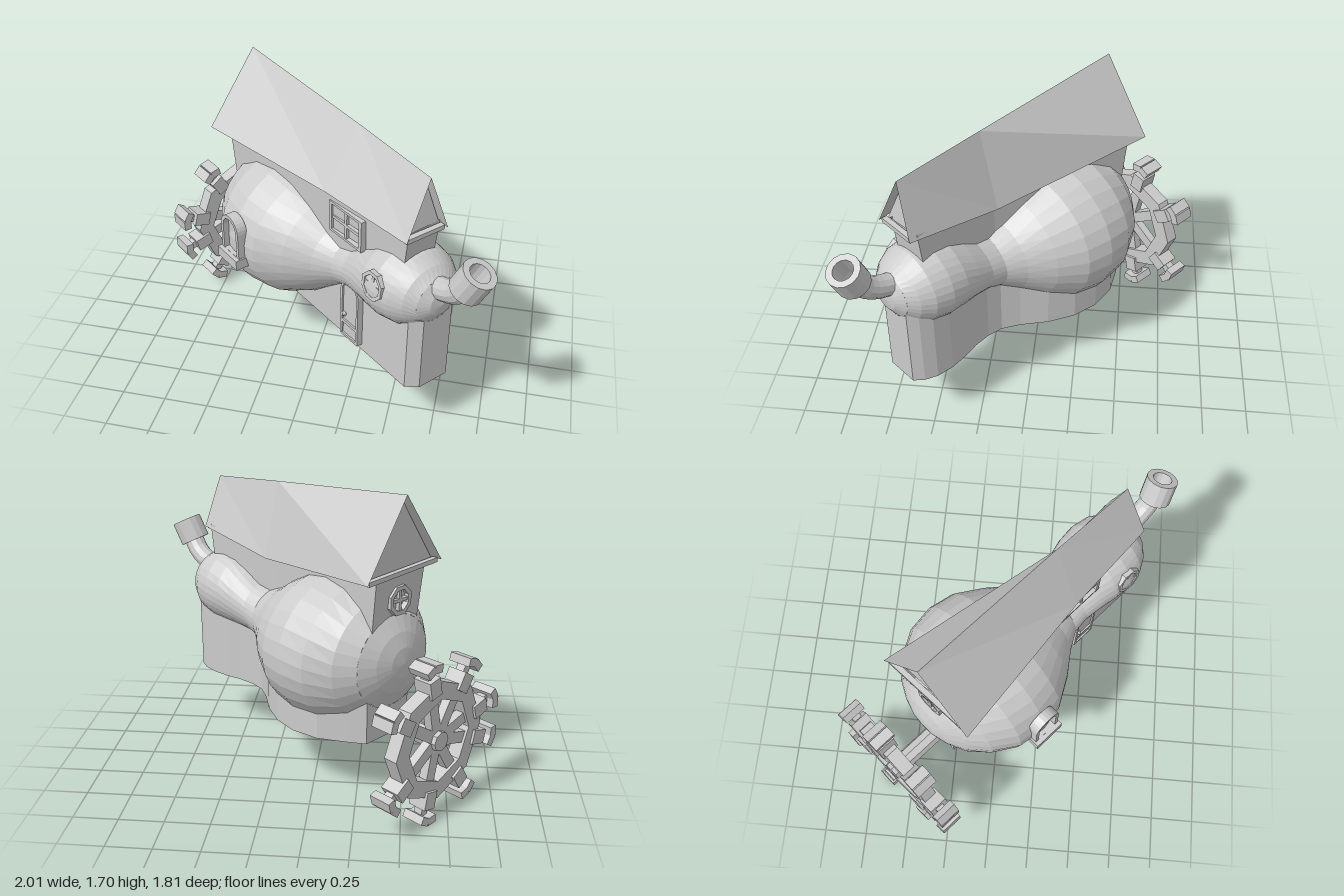
import * as THREE from 'three';

const mat = new THREE.MeshStandardMaterial({ color: 0xcccccc, flatShading: true, side: THREE.DoubleSide });
const AXIS = new THREE.Vector3(0.756, 0, 0.654);   // gourd runs from big bulb to small bulb
const FRONT = new THREE.Vector3(-0.654, 0, 0.756); // side of the house with the door

function add(parent, name, geo, x = 0, y = 0, z = 0) {
  const m = new THREE.Mesh(geo, mat);
  m.name = name;
  m.position.set(x, y, z);
  parent.add(m);
  return m;
}

// Group whose local +z points along dir
function facing(parent, name, pos, dir) {
  const g = new THREE.Group();
  g.name = name;
  g.position.set(...pos);
  g.lookAt(g.position.clone().add(dir));
  parent.add(g);
  return g;
}

// Surface through rows of points [x, y, z]
function loft(rows, closed = false) {
  const n = rows[0].length, index = [];
  for (let r = 0; r < rows.length - 1; r++)
    for (let i = 0; i < (closed ? n : n - 1); i++) {
      const a = r * n + i, b = r * n + (i + 1) % n;
      index.push(a, b, a + n, b, b + n, a + n);
    }
  const geo = new THREE.BufferGeometry();
  geo.setAttribute('position', new THREE.Float32BufferAttribute(rows.flat(2), 3));
  geo.setIndex(index);
  geo.computeVertexNormals();
  return geo;
}

function polygon(ShapeType, sides, r, turn) {
  const pts = [];
  for (let i = 0; i < sides; i++) {
    const a = turn + i * 2 * Math.PI / sides;
    pts.push(new THREE.Vector2(r * Math.cos(a), r * Math.sin(a)));
  }
  return new ShapeType(pts);
}

function ringGeo(sides, outer, inner, depth, turn = 0) {
  const s = polygon(THREE.Shape, sides, outer, turn);
  s.holes.push(polygon(THREE.Path, sides, inner, turn));
  return new THREE.ExtrudeGeometry(s, { depth, bevelEnabled: false }).translate(0, 0, -depth / 2);
}

function arch(target, w, h) {
  target.moveTo(-w / 2, 0);
  target.lineTo(w / 2, 0);
  target.lineTo(w / 2, h - w / 2);
  target.absarc(0, h - w / 2, w / 2, 0, Math.PI, false);
  target.lineTo(-w / 2, 0);
  return target;
}

function archFrame(w, h, t, depth) {
  const s = arch(new THREE.Shape(), w, h);
  s.holes.push(new THREE.Path(arch(new THREE.Path(), w - 2 * t, h - 2 * t).getPoints(6)
    .map(p => p.add(new THREE.Vector2(0, t)))));
  return new THREE.ExtrudeGeometry(s, { depth, bevelEnabled: false, curveSegments: 6 });
}

function crossBars(g, w, h) {
  add(g, 'verticalBar', new THREE.BoxGeometry(0.018, h, 0.03));
  add(g, 'horizontalBar', new THREE.BoxGeometry(w, 0.018, 0.03));
}

function buildGourd(parent) {
  // along axis, centre height, half width, half height
  const bigTip = [[-0.478, 0.82, 0.001, 0.001], [-0.468, 0.82, 0.09, 0.085], [-0.44, 0.815, 0.18, 0.17], [-0.39, 0.81, 0.275, 0.258]];
  const smallTip = [[1.14, 0.93, 0.135, 0.125], [1.175, 0.93, 0.075, 0.07], [1.187, 0.93, 0.001, 0.001]];
  // the same, then reach of the skirt to front and back
  const standing = [
    [-0.39, 0.81, 0.275, 0.258, 0.13, 0.19], [-0.3, 0.805, 0.368, 0.342, 0.13, 0.25], [-0.16, 0.8, 0.452, 0.408, 0.13, 0.335],
    [0, 0.8, 0.475, 0.425, 0.13, 0.365], [0.15, 0.8, 0.448, 0.395, 0.13, 0.345], [0.3, 0.805, 0.36, 0.312, 0.13, 0.28],
    [0.43, 0.815, 0.26, 0.22, 0.13, 0.19], [0.53, 0.83, 0.2, 0.165, 0.13, 0.14], [0.62, 0.855, 0.195, 0.16, 0.13, 0.13],
    [0.72, 0.89, 0.213, 0.188, 0.135, 0.14], [0.82, 0.916, 0.234, 0.214, 0.135, 0.165], [0.92, 0.925, 0.242, 0.225, 0.135, 0.18],
    [1.02, 0.928, 0.225, 0.208, 0.135, 0.175], [1.09, 0.93, 0.185, 0.17, 0.135, 0.15], [1.14, 0.93, 0.135, 0.125, 0.075, 0.11]];
  const STEPS = 26, BASE = 0.38;
  const point = ([t, cy, w, h], a) => [-0.135 + AXIS.x * t + FRONT.x * w * Math.cos(a), cy + h * Math.sin(a),
    -0.08 + AXIS.z * t + FRONT.z * w * Math.cos(a)];
  const arc = (s, from, to) => Array.from({ length: STEPS + 1 }, (_, i) => point(s, from + (to - from) * i / STEPS));
  const ends = ([, , w, , front, back]) => [-Math.acos(front / w), Math.PI + Math.acos(back / w)];
  const drop = pts => [pts, pts.map(([x, , z]) => [x, BASE, z])];

  // Closed tips; the body between them is open underneath where it stands on the skirt
  for (const tip of [bigTip, smallTip])
    add(parent, 'gourdTip', loft(tip.map(s => arc(s, -Math.PI / 2, Math.PI * 1.5))));
  const rows = standing.map(s => arc(s, ...ends(s)));
  add(parent, 'gourdBody', loft(rows));

  // Skirt wall hangs from the edges of that opening
  add(parent, 'skirtFront', loft(drop(rows.map(r => r[0]))));
  add(parent, 'skirtBack', loft(drop(rows.map(r => r[STEPS]))));
  for (const s of [standing[0], standing[standing.length - 1]]) {
    const [from, to] = ends(s);
    add(parent, 'skirtEnd', loft(drop(arc(s, from, to - 2 * Math.PI))));
  }
}

function buildHouse(parent) {
  // Walls narrowing downwards
  const top = [[-0.58, -0.17], [0.1, 0.33], [0.57, 0.67], [0.7, 0.51], [0.27, 0.2], [-0.34, -0.49]];
  const bottom = top.map(([x, z]) => [0.06 + (x - 0.06) * 0.93, 0.85, 0.08 + (z - 0.08) * 0.93]);
  add(parent, 'houseWalls', loft([top.map(([x, z], i) => [x, i === 4 ? 1.23 : 1.3, z]), bottom], true));

  // Bent saddle roof, wide at the back and narrow at the front
  const frontEave = [[-0.67, 1.31, -0.11], [0.1, 1.295, 0.39], [0.57, 1.28, 0.73]];
  const ridge = [[-0.48, 1.71, -0.35], [0.25, 1.63, 0.26], [0.65, 1.58, 0.6]];
  const backEave = [[-0.3, 1.3, -0.58], [0.32, 1.2, 0.17], [0.74, 1.28, 0.54]];
  add(parent, 'roof', loft([frontEave, ridge, backEave]));

  // Gable walls set back under the roof, with a beam across the eaves
  for (const [i, inward] of [[0, 0.05], [2, -0.05]]) {
    const p = new THREE.Vector3(...frontEave[i]), q = new THREE.Vector3(...backEave[i]);
    const setBack = v => v.addScaledVector(AXIS, inward).toArray();
    const apex = setBack(new THREE.Vector3(...ridge[i]).setY(ridge[i][1] - 0.01));
    add(parent, 'gable', loft([[setBack(p.clone().lerp(q, 0.04)), setBack(q.clone().lerp(p, 0.04))], [apex, apex]]));
    const beam = facing(parent, 'gableBeam', p.clone().lerp(q, 0.5).addScaledVector(AXIS, inward / 2).toArray(), q.clone().sub(p));
    add(beam, 'beam', new THREE.BoxGeometry(0.03, 0.025, p.distanceTo(q) * 0.92));
  }
}

function buildOpenings(parent) {
  const big = facing(parent, 'archedWindow', [-0.42, 0.74, 0.25], FRONT);
  add(big, 'frame', archFrame(0.17, 0.26, 0.022, 0.06));
  add(big, 'pane', new THREE.ShapeGeometry(arch(new THREE.Shape(), 0.16, 0.25)), 0, 0, 0.025);
  add(big, 'sill', new THREE.BoxGeometry(0.19, 0.06, 0.13), 0, -0.01, 0.02);

  const square = facing(parent, 'squareWindow', [0.225, 1.13, 0.415], FRONT);
  add(square, 'frame', ringGeo(4, 0.14, 0.118, 0.04, Math.PI / 4)).scale.set(1.35, 0.92, 1);
  crossBars(square, 0.24, 0.17);

  const side = facing(parent, 'roundWindow', [0.415, 0.975, 0.68], new THREE.Vector3(-0.68, 0.12, 0.73));
  add(side, 'frame', ringGeo(8, 0.082, 0.062, 0.04, Math.PI / 8));
  crossBars(side, 0.13, 0.13);

  const gable = facing(parent, 'gableWindow', [-0.45, 1.15, -0.325], AXIS.clone().negate());
  add(gable, 'frame', ringGeo(8, 0.085, 0.06, 0.04, Math.PI / 8));
  crossBars(gable, 0.12, 0.12);

  const door = facing(parent, 'door', [0.275, 0.42, 0.455], FRONT);
  add(door, 'doorLeaf', new THREE.ExtrudeGeometry(arch(new THREE.Shape(), 0.13, 0.37), { depth: 0.025, bevelEnabled: false }));
  add(door, 'doorFrame', archFrame(0.15, 0.39, 0.015, 0.035));
  add(door, 'crossPlank', new THREE.BoxGeometry(0.12, 0.02, 0.02), 0, 0.1, 0.025);
  add(door, 'knob', new THREE.SphereGeometry(0.014, 8, 6), -0.045, 0.15, 0.03);
}

function buildChimney(parent) {
  const path = new THREE.CatmullRomCurve3([[0.64, 0.99, 0.59], [0.75, 1.01, 0.68], [0.83, 1.06, 0.75], [0.88, 1.14, 0.8]]
    .map(p => new THREE.Vector3(...p)));
  add(parent, 'chimneyPipe', new THREE.TubeGeometry(path, 8, 0.06, 12));
  const cap = facing(parent, 'chimneyCap', [0.895, 1.18, 0.812], new THREE.Vector3(0.07, 0.15, 0.03));
  add(cap, 'capRing', ringGeo(14, 0.09, 0.055, 0.14));
}

function buildWheel(parent) {
  const wheel = facing(parent, 'waterWheel', [-0.66, 0.467, -0.545], AXIS.clone().negate());
  add(wheel, 'rim', ringGeo(8, 0.34, 0.24, 0.08));
  add(wheel, 'axle', new THREE.CylinderGeometry(0.055, 0.055, 0.4, 8).rotateX(Math.PI / 2), 0, 0, -0.15);
  // Arms are a little unevenly spaced
  for (const angle of [15, 58, 102, 147, -15, -58, -102, -147]) {
    const arm = new THREE.Group();
    arm.name = 'paddleArm';
    arm.rotation.z = THREE.MathUtils.degToRad(angle);
    wheel.add(arm);
    add(arm, 'spoke', new THREE.BoxGeometry(0.25, 0.065, 0.05), 0.15);
    add(arm, 'bracket', new THREE.BoxGeometry(0.1, 0.08, 0.11), 0.33);
    add(arm, 'stem', new THREE.BoxGeometry(0.1, 0.045, 0.05), 0.4);
    // Paddle head, slightly bent
    for (const s of [-1, 1])
      add(arm, 'paddle', new THREE.BoxGeometry(0.045, 0.06, 0.13), 0.44, s * 0.026, 0).rotation.z = s * 0.3;
  }
}

export function createModel() {
  const model = new THREE.Group();
  model.name = 'gourdHouse';
  buildGourd(model);
  buildHouse(model);
  buildOpenings(model);
  buildChimney(model);
  buildWheel(model);
  return model;
}
